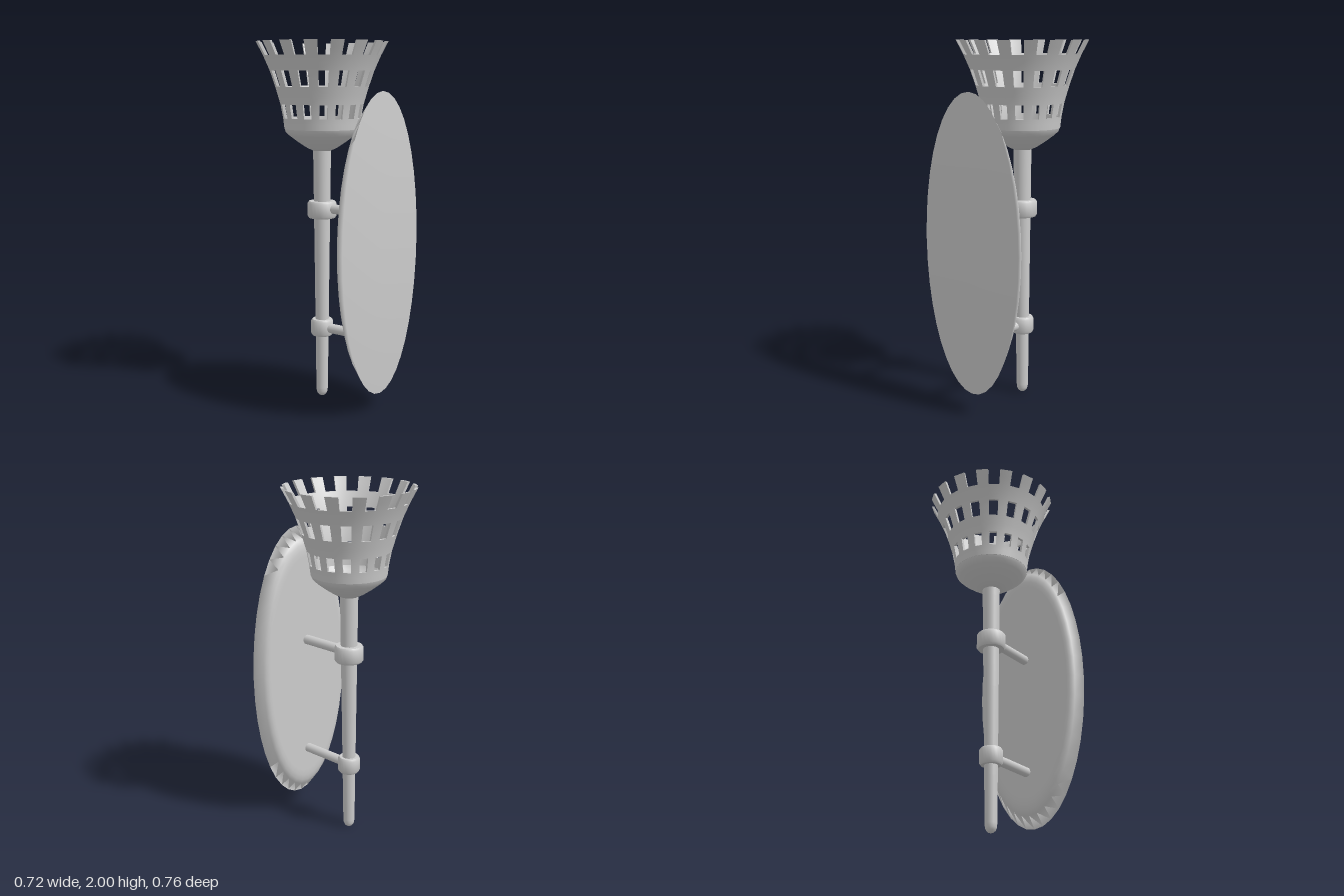
import * as THREE from 'three';
import { toCreasedNormals } from 'three/addons/utils/BufferGeometryUtils.js';

const AXIS_Z = -0.02; // the torch stands slightly behind the centre
const TEETH = 16;
const WALL = 0.014;

// Outer radius of the flared basket, as [height, radius]
const FLARE = [[1.53, 0.207], [1.59, 0.214], [1.665, 0.228], [1.76, 0.256], [1.845, 0.285], [1.925, 0.32], [2.0, 0.359]];

function flareRadius(y) {
  let i = 0;
  while (i < FLARE.length - 2 && y > FLARE[i + 1][0]) i++;
  const [y0, r0] = FLARE[i], [y1, r1] = FLARE[i + 1];
  return r0 + (r1 - r0) * (y - y0) / (y1 - y0);
}

// A box bent around the torch axis: x becomes angle, y height, z wall depth
function basketPatch(a0, a1, y0, y1, segments) {
  const g = new THREE.BoxGeometry(1, 1, 1, segments, 2, 1);
  const p = g.attributes.position, n = g.attributes.normal;
  const v = new THREE.Vector3();
  for (let i = 0; i < p.count; i++) {
    const a = a0 + (p.getX(i) + 0.5) * (a1 - a0);
    const y = y0 + (p.getY(i) + 0.5) * (y1 - y0);
    const r = flareRadius(y) + (p.getZ(i) - 0.5) * WALL;
    const slope = (flareRadius(y + 0.03) - flareRadius(y - 0.03)) / 0.06;
    const nx = n.getX(i), ny = n.getY(i), nz = n.getZ(i);
    p.setXYZ(i, r * Math.sin(a), y, r * Math.cos(a));
    v.set(nx * Math.cos(a) + nz * Math.sin(a), ny - nz * slope, nz * Math.cos(a) - nx * Math.sin(a)).normalize();
    n.setXYZ(i, v.x, v.y, v.z);
  }
  return g;
}

function lathe(points, segments = 32) {
  return new THREE.LatheGeometry(points.map(([r, y]) => new THREE.Vector2(r, y)), segments);
}

export function createModel() {
  const model = new THREE.Group();
  const material = new THREE.MeshStandardMaterial({ color: 0xcccccc });
  const add = (parent, name, geometry) => {
    const mesh = new THREE.Mesh(geometry, material);
    mesh.name = name;
    parent.add(mesh);
    return mesh;
  };

  const torch = new THREE.Group();
  torch.name = 'torch';
  torch.position.z = AXIS_Z;
  model.add(torch);

  // Tapered handle with a rounded tip
  add(torch, 'handle', lathe([
    [0, 0], [0.014, 0.003], [0.025, 0.013], [0.031, 0.028], [0.033, 0.05],
    [0.036, 0.3], [0.042, 0.8], [0.049, 1.36], [0.05, 1.43],
  ], 24));

  // Hollow cup below the basket
  add(torch, 'cup', toCreasedNormals(lathe([
    [0.0, 1.405], [0.05, 1.41], [0.085, 1.427], [0.135, 1.46], [0.18, 1.494], [0.2, 1.514], [0.207, 1.535],
    [0.193, 1.535], [0.18, 1.513], [0.14, 1.484], [0.08, 1.455], [0, 1.44],
  ]), 0.7));

  // Basket: three hoops joined by upright bars, the top row left open as teeth
  const basket = new THREE.Group();
  basket.name = 'basket';
  torch.add(basket);
  for (const [y0, y1] of [[1.53, 1.59], [1.665, 1.76], [1.845, 1.925]]) {
    add(basket, 'hoop', basketPatch(0, Math.PI * 2, y0, y1, TEETH * 2));
  }
  for (const [y0, y1, name] of [[1.59, 1.665, 'bar'], [1.76, 1.845, 'bar'], [1.925, 2.0, 'tooth']]) {
    for (let i = 0; i < TEETH; i++) {
      const a = (i / TEETH) * Math.PI * 2;
      add(basket, name, basketPatch(a, a + Math.PI / TEETH, y0, y1, 1));
    }
  }

  // Collars around the handle, each with an arm to the plate
  for (const [y, r, armY] of [[1.083, 0.081, 1.09], [0.408, 0.063, 0.407]]) {
    const h = 0.047;
    add(torch, 'collar', toCreasedNormals(lathe([
      [0.03, -h], [r - 0.008, -h], [r, -h + 0.012], [r, h - 0.012], [r - 0.008, h], [0.03, h],
    ], 24), 0.9)).position.y = y;
    const arm = new THREE.CylinderGeometry(0.027, 0.027, 0.31, 16);
    arm.rotateX(Math.PI / 2);
    add(torch, 'arm', arm).position.set(0, armY, 0.185);
  }

  // Oval plate: flat front, bevelled rim towards the back
  const plate = lathe([
    [0, 0.309], [0.8, 0.309], [0.845, 0.31], [0.885, 0.316], [0.92, 0.328], [1, 0.38], [0, 0.38],
  ], 40);
  plate.rotateX(Math.PI / 2);
  plate.scale(0.354, 0.82, 1);
  add(model, 'plate', plate).position.y = 0.92;

  return model;
}
